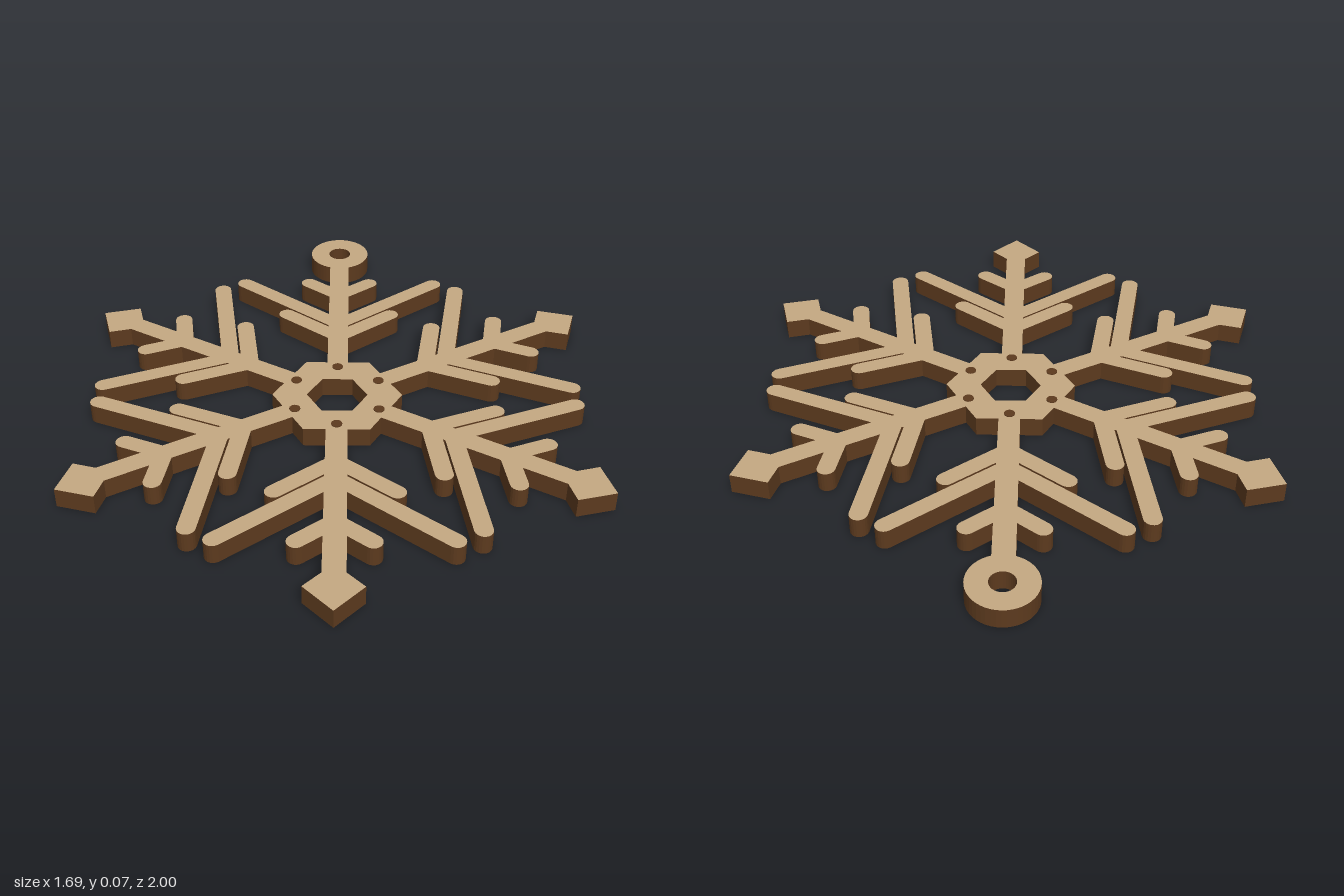
import * as THREE from 'three';

const CENTER_Z = 0.027, THICK = 0.066;
const STEM = 0.035, TWIG = 0.029, LEAN = THREE.MathUtils.degToRad(52);
const HUB = 0.214, RING_AT = 0.919, RING_R = 0.108;

// Twigs: where the axis leaves the stem, and how far sideways its rounded end sits
const TWIGS = [[0.343, 0.185], [0.425, 0.349], [0.616, 0.111]];

// One side of an arm, from the hub out to the tip, as [sideways, outward]
function halfArm(withRing) {
  const pts = [[HUB / 2, HUB * Math.sqrt(3) / 2], [STEM, HUB * Math.sqrt(3) / 2]];
  for (const [start, reach] of TWIGS) {
    const foot = start + STEM / Math.tan(LEAN), spread = TWIG / Math.sin(LEAN);
    const end = start + reach / Math.tan(LEAN);
    pts.push([STEM, foot - spread]);
    for (let i = 0; i <= 10; i++) {
      const a = -LEAN + Math.PI * i / 10;
      pts.push([reach + TWIG * Math.cos(a), end + TWIG * Math.sin(a)]);
    }
    pts.push([STEM, foot + spread]);
  }
  if (withRing) {
    // hanging ring
    const a0 = -Math.acos(STEM / RING_R);
    for (let i = 0; i <= 20; i++) {
      const a = a0 + (Math.PI / 2 - a0) * i / 20;
      pts.push([RING_R * Math.cos(a), RING_AT + RING_R * Math.sin(a)]);
    }
  } else {
    // diamond tip
    pts.push([STEM, 0.828], [0.089, 0.882], [0, 0.973]);
  }
  return pts;
}

export function createModel() {
  const group = new THREE.Group();
  group.name = 'snowflakeOrnament';
  const tan = new THREE.MeshStandardMaterial({ name: 'lightWood', color: 0xc4a882 });
  const brown = new THREE.MeshStandardMaterial({ name: 'darkWood', color: 0x5c3a1e });

  // Whole outline: six arms, the first carrying the ring
  const outline = [];
  for (let k = 0; k < 6; k++) {
    const half = halfArm(k === 0);
    const mirrored = half.slice(1, -1).reverse().map(([t, r]) => [-t, r]);
    for (const [t, r] of [...half, ...mirrored]) {
      outline.push(new THREE.Vector2(t, r).rotateAround(new THREE.Vector2(), k * Math.PI / 3));
    }
  }
  const shape = new THREE.Shape(outline);

  // Hexagonal hub opening and ring hole
  const hex = [];
  for (let k = 0; k < 6; k++) {
    hex.push(new THREE.Vector2(0.1 * Math.cos(k * Math.PI / 3), -0.1 * Math.sin(k * Math.PI / 3)));
  }
  shape.holes.push(new THREE.Path(hex));
  shape.holes.push(new THREE.Path().absarc(0, RING_AT, 0.04, 0, Math.PI * 2, true));

  const geo = new THREE.ExtrudeGeometry(shape, { depth: THICK, bevelEnabled: false, curveSegments: 16 });
  geo.rotateX(-Math.PI / 2);
  const flake = new THREE.Mesh(geo, [tan, brown]);
  flake.name = 'snowflake';
  flake.position.z = CENTER_Z;
  group.add(flake);

  // Dark dots around the hub
  const dotGeo = new THREE.CylinderGeometry(0.018, 0.018, 0.006, 16);
  for (let k = 0; k < 6; k++) {
    const a = k * Math.PI / 3;
    const dot = new THREE.Mesh(dotGeo, brown);
    dot.name = 'hubDot';
    dot.position.set(0.158 * Math.sin(a), THICK, CENTER_Z + 0.158 * Math.cos(a));
    group.add(dot);
  }
  return group;
}
